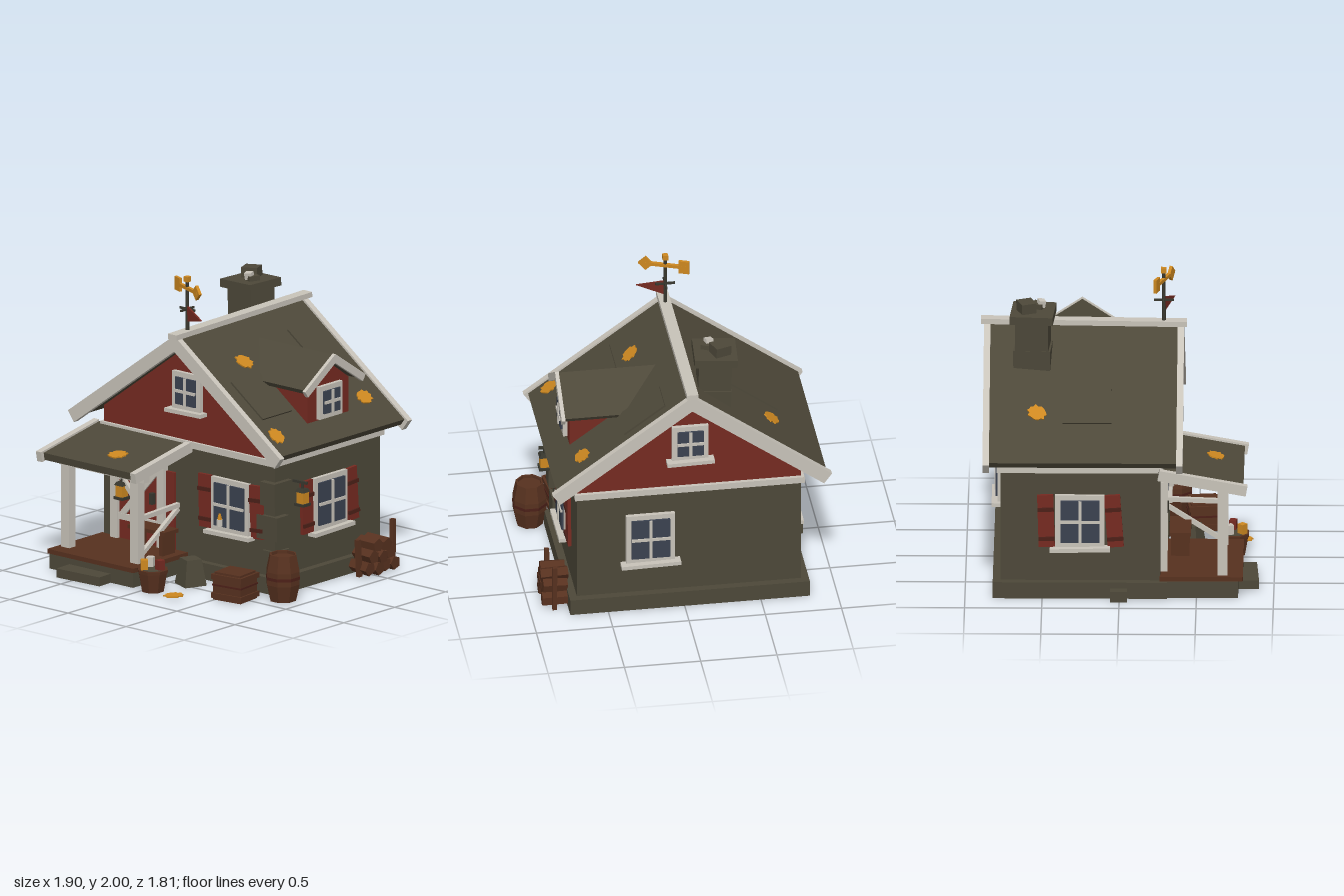
import * as THREE from 'three';

const mat = (name, color) => { const m = new THREE.MeshStandardMaterial({ color }); m.name = name; return m; };
const M = {
  stone: mat('mossy stone', 0x4d4839), white: mat('pale trim', 0xc8c3b9), red: mat('barn red', 0x752a21),
  wood: mat('brown wood', 0x57311f), dark: mat('dark red wood', 0x4c2018), gold: mat('amber', 0xcd8820),
  glass: mat('window glass', 0x3b4250), iron: mat('dark iron', 0x38372e),
};

function add(parent, name, geo, m, x = 0, y = 0, z = 0, rx = 0, ry = 0, rz = 0) {
  const mesh = new THREE.Mesh(geo, m);
  mesh.name = name;
  mesh.position.set(x, y, z);
  mesh.rotation.set(rx, ry, rz);
  parent.add(mesh);
  return mesh;
}
function group(parent, name, x = 0, y = 0, z = 0, rx = 0, ry = 0, rz = 0) {
  const g = new THREE.Group();
  g.name = name;
  g.position.set(x, y, z);
  g.rotation.set(rx, ry, rz);
  parent.add(g);
  return g;
}
const B = (w, h, d) => new THREE.BoxGeometry(w, h, d);
// box given by its limits
const span = (p, name, m, x0, x1, y0, y1, z0, z1) =>
  add(p, name, B(x1 - x0, y1 - y0, z1 - z0), m, (x0 + x1) / 2, (y0 + y1) / 2, (z0 + z1) / 2);
// four low walls around an open middle
function ring(p, name, m, x0, x1, y0, y1, z0, z1, t) {
  for (const [a, b] of [[x0, x0 + t], [x1 - t, x1]]) span(p, name, m, a, b, y0, y1, z0, z1);
  for (const [a, b] of [[z0, z0 + t], [z1 - t, z1]]) span(p, name, m, x0 + t, x1 - t, y0, y1, a, b);
}
const faceted = (geo) => { const g = geo.toNonIndexed(); g.computeVertexNormals(); return g; };
const cyl = (rt, rb, h, n = 8) => faceted(new THREE.CylinderGeometry(rt, rb, h, n));
const prism = (pts, depth) => new THREE.ExtrudeGeometry(
  new THREE.Shape(pts.map(([x, y]) => new THREE.Vector2(x, y))), { depth, bevelEnabled: false });
// bar between two points
function bar(p, name, m, a, b, w, d = w) {
  const A = new THREE.Vector3(...a), C = new THREE.Vector3(...b), dir = C.clone().sub(A);
  const mesh = add(p, name, B(w, dir.length(), d), m);
  mesh.position.copy(A.add(C).multiplyScalar(0.5));
  mesh.quaternion.setFromUnitVectors(new THREE.Vector3(0, 1, 0), dir.normalize());
}
// inverted V with its apex at the origin and square-cut ends
function chevron(h, slope, t, depth) {
  const a = Math.atan(slope), s = Math.sin(a), c = Math.cos(a);
  const ex = h - t * s, ey = -h * slope - t * c;
  return prism([[0, 0], [-h, -h * slope], [-ex, ey], [0, -t / c], [ex, ey], [h, -h * slope]], depth);
}
function leaf(p, x, y, z, turn) {
  const pts = [];
  for (let i = 0; i < 20; i++) {
    const a = i / 20 * Math.PI * 2, r = 0.061 + (i % 2 ? 0.005 : -0.003) + 0.006 * Math.sin(i * 2.3);
    pts.push([r * Math.cos(a), r * 0.85 * Math.sin(a)]);
  }
  add(p, 'leaf', prism(pts, 0.009), M.gold, x, y, z, -Math.PI / 2, 0, turn);
}
// window facing +z: backing frame, raised panes, then glazing bars
function makeWindow(p, name, w, h, x, y, z, ry, { sill = true, shutters = false } = {}) {
  const g = group(p, name, x, y, z, 0, ry), f = 0.034, iw = w - 2 * f, ih = h - 2 * f;
  add(g, 'frame', B(w, h, 0.03), M.white, 0, 0, 0.013);
  add(g, 'glass', B(iw, ih, 0.014), M.glass, 0, 0, 0.034);
  add(g, 'mullion', B(0.02, ih, 0.016), M.white, 0, 0, 0.041);
  add(g, 'glazingBar', B(iw, 0.02, 0.016), M.white, 0, 0, 0.041);
  if (sill) add(g, 'sill', B(w + 0.07, 0.026, 0.075), M.white, 0, -h / 2 - 0.01, 0.03, 0, 0, 0.02);
  for (const s of shutters ? [-1, 1] : []) {
    const sh = group(g, 'shutter', s * (w / 2 + 0.06), 0, 0.01, 0, 0, s < 0 ? 0.03 : 0.07);
    add(sh, 'shutterBoard', B(0.105, h, 0.025), M.red);
    for (const b of [0.08, -0.12]) add(sh, 'shutterBatten', B(0.105, 0.025, 0.012), M.dark, 0, b, 0.018);
  }
}
function lantern(p, x, y, z) {
  const g = group(p, 'lantern', x, y, z);
  add(g, 'lanternBase', B(0.078, 0.018, 0.078), M.iron, 0, -0.053);
  add(g, 'lanternGlow', B(0.058, 0.078, 0.058), M.gold, 0, -0.006);
  add(g, 'lanternCap', cyl(0.035, 0.052, 0.022, 4), M.iron, 0, 0.043, 0, 0, Math.PI / 4);
  add(g, 'lanternHook', B(0.014, 0.05, 0.014), M.iron, 0, 0.075);
}
function barrel(p, x, z, r, h) {
  const g = group(p, 'barrel', x, 0, z, 0, Math.PI / 8);
  const pts = [[0, 0], [r * 0.78, 0], [r, h * 0.36], [r, h * 0.64], [r * 0.8, h], [r * 0.7, h], [r * 0.7, h - 0.02], [0, h - 0.02]];
  add(g, 'staves', faceted(new THREE.LatheGeometry(pts.map(([a, b]) => new THREE.Vector2(a, b)), 8)), M.wood);
  add(g, 'hoop', cyl(r * 1.02, r * 1.02, 0.02), M.dark, 0, h / 2);
}

export function createModel() {
  const house = new THREE.Group();
  house.name = 'cottage';
  const R = -0.04, K = 0.73, A = Math.atan(K);

  // walls
  ring(house, 'plinth', M.stone, -0.82, 0.75, 0, 0.11, -0.82, 0.31, 0.07);
  span(house, 'walls', M.stone, -0.77, 0.70, 0.09, 0.86, -0.77, 0.265);
  span(house, 'wallTrim', M.white, -0.79, 0.715, 0.85, 0.893, -0.795, 0.285);
  add(house, 'gableWalls', prism([[-0.77, 0.88], [0.70, 0.88], [0.70, 1.0], [-0.035, 1.54], [-0.77, 1.0]], 1.035), M.red, 0, 0, -0.77);
  for (const [x0, x1, y0, y1, z0, z1] of [[0.61, 0.735, 0.59, 0.745, 0.135, 0.31],
    [0.565, 0.74, 0.355, 0.515, 0.17, 0.29], [0.61, 0.72, 0.12, 0.28, 0.14, 0.285]])
    span(house, 'cornerStone', M.stone, x0, x1, y0, y1, z0, z1);
  span(house, 'looseStone', M.stone, -0.89, -0.78, 0, 0.07, -0.06, 0.05);

  // main roof
  add(house, 'roof', chevron(0.885, K, 0.05, 1.25), M.stone, R, 1.612, -0.85);
  for (const z of [-0.885, 0.37]) add(house, 'bargeboard', chevron(0.915, K, 0.087, 0.042), M.white, R, 1.628, z);
  add(house, 'ridgeCap', B(0.075, 0.035, 1.335), M.white, R, 1.63, -0.237, 0.012);
  const roofItems = {
    1: { patches: [[0.36, -0.64, 0.33, 0.24], [0.62, 0.13, 0.34, 0.285]], leaves: [[0.33, 0.03], [0.85, -0.67], [0.94, 0.275]] },
    [-1]: { patches: [[0.595, -0.21, 0.38, 0.315]], leaves: [[0.705, -0.535]] },
  };
  for (const s of [1, -1]) {
    const g = group(house, 'roofSlope', R, 1.612, 0, 0, 0, -s * A);
    for (const [d, z, w, l] of roofItems[s].patches) add(g, 'roofPatch', B(w, 0.024, l), M.stone, s * d, 0, z);
    roofItems[s].leaves.forEach(([d, z], i) => leaf(g, s * d, 0.004, z, 1 + i * 0.9));
  }

  // dormer
  const dz = -0.257, side = Math.PI / 2;
  add(house, 'dormerBody', prism([[-0.2, 1.075], [0.2, 1.075], [0.2, 1.31], [0, 1.45], [-0.2, 1.31]], 0.5), M.red, 0.2, 0, dz, 0, side);
  add(house, 'dormerRoof', chevron(0.28, 0.66, 0.035, 0.645), M.stone, 0.1, 1.505, dz, 0, side);
  add(house, 'dormerBargeboard', chevron(0.297, 0.66, 0.05, 0.025), M.white, 0.74, 1.512, dz, 0, side);
  makeWindow(house, 'dormerWindow', 0.225, 0.22, 0.70, 1.195, dz, side, { sill: false });

  // windows
  makeWindow(house, 'frontWindow', 0.32, 0.355, 0.335, 0.522, 0.265, 0, { shutters: true });
  makeWindow(house, 'leftWindow', 0.32, 0.355, 0.70, 0.522, -0.255, side, { shutters: true });
  makeWindow(house, 'rightWindow', 0.32, 0.355, -0.77, 0.522, -0.255, -side, { shutters: true });
  makeWindow(house, 'backWindow', 0.32, 0.355, 0.22, 0.522, -0.77, Math.PI);
  makeWindow(house, 'frontGableWindow', 0.24, 0.25, -0.04, 1.225, 0.265, 0);
  makeWindow(house, 'backGableWindow', 0.24, 0.25, -0.04, 1.225, -0.77, Math.PI);
  add(house, 'candle', cyl(0.019, 0.019, 0.045), M.white, 0.277, 0.41, 0.325);
  add(house, 'candleFlame', cyl(0.007, 0.016, 0.04, 6), M.gold, 0.277, 0.452, 0.325);

  // porch
  ring(house, 'porchBase', M.stone, -0.80, -0.08, 0, 0.11, 0.25, 0.77, 0.06);
  span(house, 'porchDeck', M.wood, -0.79, -0.05, 0.11, 0.14, 0.26, 0.80);
  add(house, 'porchStep', B(0.355, 0.06, 0.16), M.stone, -0.448, 0.03, 0.815, 0, 0.05);
  for (const x of [-0.725, -0.132]) span(house, 'porchPost', M.white, x - 0.034, x + 0.034, 0.14, 0.74, 0.635, 0.70);
  span(house, 'porchBeam', M.white, -0.78, -0.05, 0.69, 0.74, 0.64, 0.695);
  bar(house, 'porchBrace', M.white, [-0.145, 0.56, 0.667], [-0.27, 0.70, 0.667], 0.03);
  bar(house, 'sideRail', M.white, [-0.132, 0.43, 0.65], [-0.132, 0.445, 0.26], 0.03);
  bar(house, 'sideRailDiagonal', M.white, [-0.132, 0.18, 0.64], [-0.132, 0.42, 0.27], 0.028);
  const pr = group(house, 'porchRoof', -0.435, 0.88, 0.262, 0.18);
  add(pr, 'porchRoofSlab', B(0.775, 0.05, 0.555), M.stone, 0, -0.025, 0.275);
  for (const s of [-1, 1]) add(pr, 'porchBargeboard', B(0.044, 0.07, 0.58), M.white, s * 0.405, -0.022, 0.287);
  leaf(pr, 0.095, 0, 0.365, 0.4);
  lantern(house, -0.255, 0.61, 0.68);

  // door
  const door = group(house, 'door', -0.45, 0.14, 0.27);
  span(door, 'doorLeaf', M.red, -0.175, 0.175, 0, 0.57, -0.02, 0.015);
  span(door, 'sidePanel', M.red, 0.23, 0.3, 0, 0.52, -0.02, 0.015);
  for (const s of [-1, 1]) span(door, 'doorJamb', M.white, s * 0.2 - 0.03, s * 0.2 + 0.03, 0, 0.6, -0.02, 0.04);
  span(door, 'doorLintel', M.white, -0.23, 0.23, 0.57, 0.61, -0.02, 0.04);
  for (const y of [0.15, 0.515]) add(door, 'doorBatten', B(0.34, 0.042, 0.02), M.white, 0, y, 0.02);
  bar(door, 'doorDiagonal', M.white, [-0.145, 0.16, 0.02], [0.155, 0.505, 0.02], 0.042, 0.018);
  span(door, 'doorHandle', M.iron, 0.11, 0.138, 0.28, 0.355, 0.01, 0.045);

  // bench
  span(house, 'benchSeat', M.wood, -0.4, -0.08, 0.28, 0.305, 0.32, 0.46);
  for (const x of [-0.365, -0.12]) span(house, 'benchLeg', M.wood, x - 0.015, x + 0.015, 0.14, 0.28, 0.33, 0.45);

  // corner lantern on its bracket
  span(house, 'lanternBracket', M.iron, 0.70, 0.82, 0.715, 0.732, 0.077, 0.093);
  lantern(house, 0.782, 0.63, 0.085);

  // chimney
  const ch = group(house, 'chimney', -0.235, 1.74, -0.565, 0, -0.08, 0.04);
  add(ch, 'chimneyShaft', B(0.215, 0.5, 0.215), M.stone, 0, -0.25);
  add(ch, 'chimneyBase', B(0.24, 0.3, 0.24), M.stone, 0.01, -0.36);
  add(ch, 'chimneyCap', B(0.28, 0.055, 0.28), M.stone, 0, 0.01);
  add(ch, 'chimneyPot', B(0.11, 0.07, 0.1), M.stone, -0.03, 0.07, -0.04, 0, 0.45);
  add(ch, 'chimneyStone', B(0.08, 0.04, 0.075), M.stone, 0.045, 0.05, 0.03, 0, -0.3);
  add(ch, 'paleStone', B(0.05, 0.045, 0.045), M.white, 0.04, 0.07, 0.05, 0.2, 0.4);

  // weather vane
  const vane = group(house, 'weatherVane', R, 0, 0.28);
  add(vane, 'vanePole', cyl(0.011, 0.013, 0.4, 6), M.iron, 0, 1.79);
  add(vane, 'vaneCross', B(0.012, 0.014, 0.13), M.iron, 0, 1.78);
  add(vane, 'vaneCross', B(0.13, 0.014, 0.012), M.iron, 0, 1.78);
  add(vane, 'vaneFinial', B(0.035, 0.035, 0.035), M.gold, 0, 1.9825);
  const arrow = group(vane, 'vaneArrow', 0, 1.92, 0, 0, -0.36);
  add(arrow, 'arrowShaft', B(0.28, 0.022, 0.022), M.gold);
  add(arrow, 'arrowTail', B(0.07, 0.09, 0.02), M.gold, -0.125);
  add(arrow, 'arrowHead', B(0.07, 0.07, 0.02), M.gold, 0.13, 0, 0, 0, 0, Math.PI / 4);
  add(arrow, 'vaneFlag', prism([[0, -0.12], [0, -0.22], [0.185, -0.175]], 0.012), M.red, 0.008, 0, -0.006);

  // yard goods
  barrel(house, 0.84, 0.345, 0.114, 0.31);
  const crate = group(house, 'crate', 0.59, 0, 0.53, 0, 0.12);
  add(crate, 'crateBody', B(0.215, 0.17, 0.19), M.wood, 0, 0.085);
  for (const y of [0.03, 0.155]) add(crate, 'crateBand', B(0.235, 0.035, 0.212), M.wood, 0, y);
  add(crate, 'crateSlat', B(0.225, 0.012, 0.2), M.dark, 0, 0.1);
  add(crate, 'crateLid', B(0.2, 0.02, 0.18), M.wood, 0, 0.176);
  const pot = group(house, 'planter', 0.06, 0, 0.735, 0, Math.PI / 8);
  add(pot, 'planterTub', cyl(0.1, 0.075, 0.14), M.wood, 0, 0.07);
  add(pot, 'planterRim', cyl(0.104, 0.102, 0.022), M.wood, 0, 0.137);
  add(pot, 'soil', cyl(0.084, 0.084, 0.01), M.stone, 0, 0.146);
  [['white', -0.03, -0.045], ['red', 0.055, 0.015], ['gold', -0.045, 0.04]].forEach(([c, x, z], i) =>
    add(pot, 'planterBlock', B(0.045, 0.07, 0.045), M[c], x, 0.18, z, 0, i));
  add(house, 'taperedStone', cyl(0.075, 0.11, 0.175, 4), M.stone, 0.142, 0.0875, 0.455, 0, Math.PI / 4 - 0.4);
  leaf(house, 0.29, 0.018, 0.79, 1.2);

  // log pile, loosely stacked
  const logs = group(house, 'logPile', 0, 0, -0.56);
  [[4, 0.05], [3, 0.122], [2, 0.195]].forEach(([n, y], row) => {
    for (let i = 0; i < n; i++) {
      const wob = Math.sin(i * 2.7 + row * 1.9);
      add(logs, 'log', cyl(0.045, 0.047, 0.18 - 0.02 * ((i + row) % 2), 5), M.wood,
        0.825, y + 0.006 * wob, (i - (n - 1) / 2) * 0.078, i * 1.3 + row, 0.06 * wob, Math.PI / 2);
    }
  });
  bar(logs, 'logStake', M.wood, [0.84, 0, 0.155], [0.84, 0.25, 0.17], 0.03);
  bar(logs, 'logStake', M.wood, [0.84, 0, -0.17], [0.84, 0.32, -0.175], 0.03);
  return house;
}
